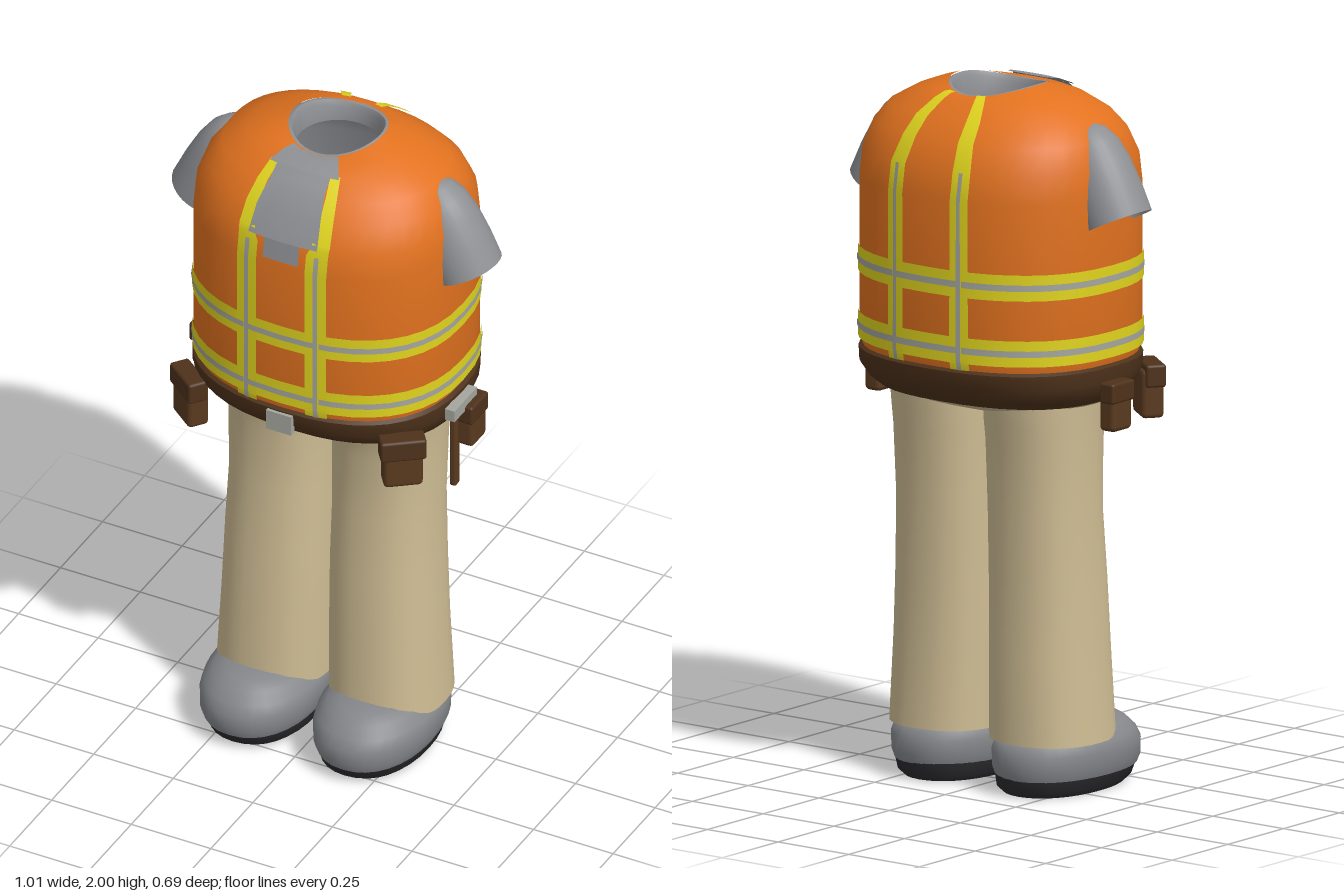
import * as THREE from 'three';
import { toCreasedNormals } from 'three/addons/utils/BufferGeometryUtils.js';
import { RoundedBoxGeometry } from 'three/addons/geometries/RoundedBoxGeometry.js';

const paint = (name, color, side = THREE.FrontSide) => {
  const m = new THREE.MeshStandardMaterial({ color, side });
  m.name = name;
  return m;
};

// A ring is [y, halfWidth, halfDepth, centreX, centreZ, roundness, frontAndBackDrop]
const fill = ([y, a, b, cx = 0, cz = 0, n = 2.4, drop = 0]) => [y, a, b, cx, cz, n, drop];
const power = (v, n) => Math.sign(v) * Math.abs(v) ** (2 / n);

// Skin through rings listed from bottom to top, with optional end caps
function loft(rings, { seg = 40, bottom = false, top = false, crease = 0.8 } = {}) {
  const pos = [], idx = [];
  rings.map(fill).forEach(([y, a, b, cx, cz, n, drop]) => {
    for (let i = 0; i < seg; i++) {
      const t = (i / seg) * Math.PI * 2, s = power(Math.sin(t), n);
      pos.push(cx + a * power(Math.cos(t), n), y - drop * s * s, cz + b * s);
    }
  });
  for (let r = 0; r < rings.length - 1; r++) {
    for (let i = 0; i < seg; i++) {
      const p = r * seg + i, q = r * seg + ((i + 1) % seg);
      idx.push(p, p + seg, q, q, p + seg, q + seg);
    }
  }
  const cap = (r, up) => {
    const [y, , , cx, cz] = fill(rings[r]);
    const c = pos.length / 3;
    pos.push(cx, y, cz);
    for (let i = 0; i < seg; i++) {
      const p = r * seg + i, q = r * seg + ((i + 1) % seg);
      idx.push(c, up ? q : p, up ? p : q);
    }
  };
  if (bottom) cap(0, false);
  if (top) cap(rings.length - 1, true);
  const g = new THREE.BufferGeometry();
  g.setAttribute('position', new THREE.Float32BufferAttribute(pos, 3));
  g.setIndex(idx);
  return toCreasedNormals(g, crease);
}

const VEST = [
  [1.235, 0.385, 0.328], [1.27, 0.395, 0.335], [1.72, 0.395, 0.335], [1.8, 0.39, 0.322],
  [1.87, 0.365, 0.285], [1.92, 0.325, 0.24], [1.96, 0.255, 0.19, 0, 0, 2.3, 0],
  [1.985, 0.19, 0.16, 0, -0.005, 2.2, 0.01], [2.0, 0.14, 0.138, 0, -0.01, 2, 0.025],
].map(fill);

// Interpolate in a list sorted by its first entry
function sample(list, y) {
  let i = 0;
  while (i < list.length - 2 && y > list[i + 1][0]) i++;
  const k = (y - list[i][0]) / (list[i + 1][0] - list[i][0]);
  return list[i].map((v, j) => v + (list[i + 1][j] - v) * k);
}

// Thin strip laid on the vest; rows are [y, xFrom, xTo], face is 1 front or -1 back
function strip(rows, face, off) {
  const y0 = rows[0][0], y1 = rows[rows.length - 1][0], cols = 5;
  const ys = [...new Set([...rows.map(r => r[0]), ...VEST.map(r => r[0])])]
    .filter(y => y >= y0 && y <= y1).sort((p, q) => p - q);
  const pos = [], idx = [];
  ys.forEach((y, r) => {
    const [, xa, xb] = sample(rows, y), [, a, b, , cz, n, drop] = sample(VEST, y);
    for (let i = 0; i <= cols; i++) {
      const x = xa + ((xb - xa) * i) / cols;
      const s = (1 - Math.abs(x / (a + off)) ** n) ** (1 / n);
      pos.push(x, y - drop * s * s + (y > 1.8 ? off : 0), cz + face * (b + off) * s);
      if (r && i) {
        const q = r * (cols + 1) + i, p = q - cols - 1;
        if (face > 0) idx.push(p - 1, p, q, p - 1, q, q - 1);
        else idx.push(p - 1, q, p, p - 1, q - 1, q);
      }
    }
  });
  const g = new THREE.BufferGeometry();
  g.setAttribute('position', new THREE.Float32BufferAttribute(pos, 3));
  g.setIndex(idx);
  g.computeVertexNormals();
  return g;
}

export function createModel() {
  const orange = paint('vest orange', 0xe2721f);
  const yellow = paint('safety yellow', 0xe0d41e);
  const silver = paint('reflective silver', 0xa4a69e);
  const grey = paint('shirt grey', 0x8e9094, THREE.DoubleSide);
  const tan = paint('trouser tan', 0xcfbd94, THREE.DoubleSide);
  const brown = paint('belt brown', 0x4e321b);
  const leather = paint('pouch leather', 0x5a3a1f);
  const shoeGrey = paint('shoe grey', 0x85878b);
  const dark = paint('sole dark', 0x2c2c30);

  const model = new THREE.Group();
  const add = (name, geo, mat, parent = model) => {
    const m = new THREE.Mesh(geo, mat);
    m.name = name;
    parent.add(m);
    return m;
  };

  // Vest shell, and the shirt lining with the collar rim
  add('vest', loft(VEST), orange);
  add('shirtLining', loft([
    [1.25, 0.37, 0.31], [1.75, 0.37, 0.31], [1.87, 0.33, 0.25], [1.93, 0.2, 0.15],
    [1.92, 0.122, 0.12, 0, -0.01, 2], [1.985, 0.124, 0.122, 0, -0.01, 2, 0.025],
    [2.0, 0.132, 0.13, 0, -0.01, 2, 0.025], [1.995, 0.143, 0.142, 0, -0.01, 2, 0.02],
  ]), grey);

  // Reflective bands around the body
  const band = (name, y0, y1, off, mat) =>
    add(name, loft([[y0, 0.395 + off, 0.335 + off], [y1, 0.395 + off, 0.335 + off]]), mat);
  for (const y of [1.297, 1.485]) {
    band('yellowBand', y - 0.037, y + 0.037, 0.004, yellow);
    band('silverBand', y - 0.009, y + 0.009, 0.006, silver);
  }

  // Shoulder straps, front and back
  const strap = (name, rows, s, face, off, mat) =>
    add(name, strip(rows.map(([y, x, h]) => [y, s * x - h, s * x + h]), face, off), mat);
  for (const s of [-1, 1]) {
    strap('frontStrap', [[1.24, 0.108, 0.032], [1.78, 0.108, 0.032], [1.81, 0.116, 0.026],
      [1.87, 0.116, 0.02], [1.92, 0.108, 0.016], [1.96, 0.094, 0.014]], s, 1, 0.005, yellow);
    strap('backStrap', [[1.24, 0.112, 0.03], [1.8, 0.112, 0.028], [1.92, 0.09, 0.022],
      [1.985, 0.058, 0.014], [1.995, 0.05, 0.012]], s, -1, 0.005, yellow);
    strap('frontStrapLine', [[1.24, 0.108, 0.007], [1.78, 0.108, 0.007]], s, 1, 0.0075, silver);
    strap('backStrapLine', [[1.24, 0.112, 0.007], [1.8, 0.112, 0.006]], s, -1, 0.0075, silver);
  }

  // Shirt showing in the open neck of the vest
  const bib = (name, rows) => add(name, strip(rows.map(([y, h]) => [y, -h, h]), 1, 0.007), grey);
  bib('shirtFront', [[1.8, 0.108], [1.87, 0.1], [1.935, 0.085], [1.955, 0.084]]);
  bib('shirtCollar', [[1.955, 0.108], [1.985, 0.085], [1.998, 0.07]]);
  bib('shirtTab', [[1.74, 0.055], [1.8, 0.055]]);

  // Short open sleeves
  const sleeve = new THREE.LatheGeometry(
    [[0.1, 0], [0.099, 0.08], [0.093, 0.16], [0.08, 0.22], [0.058, 0.26], [0.03, 0.285], [0, 0.292]]
      .map(p => new THREE.Vector2(...p)), 28);
  for (const s of [-1, 1]) {
    const m = add(s > 0 ? 'leftSleeve' : 'rightSleeve', sleeve, grey);
    m.position.set(s * 0.414, 1.647, 0);
    m.rotation.z = s * 0.44;
  }

  // Belt with buckle
  add('belt', loft([[1.125, 0.35, 0.27], [1.15, 0.38, 0.3], [1.19, 0.396, 0.334],
    [1.232, 0.397, 0.338], [1.24, 0.385, 0.328]]), brown);
  add('buckle', new THREE.BoxGeometry(0.08, 0.062, 0.02), silver).position.set(0, 1.197, 0.337);

  // Trousers: hips and two legs
  add('hips', loft([[1.085, 0.27, 0.15], [1.095, 0.305, 0.18], [1.115, 0.328, 0.22],
    [1.14, 0.352, 0.27], [1.2, 0.36, 0.3]], { bottom: true, crease: 1.2 }), tan);
  const legRings = [ // y, centreX, halfWidth, back, front
    [0.15, 0.177, 0.167, -0.165, 0.18], [0.4, 0.169, 0.162, -0.158, 0.17],
    [0.6, 0.165, 0.159, -0.155, 0.16], [0.8, 0.162, 0.154, -0.16, 0.147],
    [1.0, 0.163, 0.157, -0.17, 0.147], [1.06, 0.163, 0.16, -0.178, 0.158],
    [1.14, 0.165, 0.164, -0.185, 0.178]];
  const rings = (list, n) => list.map(([y, cx, a, z0, z1]) => [y, a, (z1 - z0) / 2, cx, (z0 + z1) / 2, n]);
  const leg = loft(rings(legRings, 2.3), { seg: 32 });

  // Shoes
  const upper = loft(rings([
    [0.05, 0.178, 0.155, -0.172, 0.306], [0.075, 0.178, 0.165, -0.18, 0.315],
    [0.12, 0.178, 0.167, -0.18, 0.314], [0.15, 0.178, 0.16, -0.165, 0.295],
    [0.178, 0.178, 0.13, -0.1, 0.265], [0.195, 0.178, 0.085, 0, 0.235],
    [0.2, 0.178, 0.04, 0.06, 0.2]], 2.2), { seg: 32, top: true, crease: 1 });
  const sole = loft(rings([
    [0, 0.175, 0.13, -0.145, 0.262], [0.018, 0.175, 0.147, -0.166, 0.288],
    [0.06, 0.177, 0.156, -0.174, 0.306]], 2.2), { seg: 32, bottom: true });

  // Tool pouch with flap, its back at z = 0
  const pouch = (name, w, h, d) => {
    const g = new THREE.Group();
    g.name = name;
    add('pouchBody', new RoundedBoxGeometry(w * 0.86, h * 0.9, d, 2, 0.014), leather, g)
      .position.set(0, -h * 0.55, d / 2);
    add('pouchFlap', new RoundedBoxGeometry(w, h * 0.42, d * 0.9, 2, 0.008), brown, g)
      .position.set(0, -h * 0.21, d * 0.6);
    return g;
  };

  for (const s of [-1, 1]) {
    const side = new THREE.Group();
    side.name = s > 0 ? 'leftSide' : 'rightSide';
    side.scale.x = s;
    add('trouserLeg', leg, tan, side);
    add('shoe', upper, shoeGrey, side);
    add('sole', sole, dark, side);
    const front = pouch('frontPouch', 0.13, 0.155, 0.065);
    front.position.set(0.312, 1.197, 0.215);
    front.rotation.y = 0.65;
    const hip = pouch('hipPouch', 0.1, 0.14, 0.055);
    hip.position.set(0.388, 1.197, -0.012);
    hip.rotation.y = Math.PI / 2;
    side.add(front, hip);
    model.add(side);
  }

  // Hammer hanging from the left hip
  const hammer = new THREE.Group();
  hammer.name = 'hammer';
  add('hammerHandle', new RoundedBoxGeometry(0.02, 0.28, 0.028, 2, 0.006), leather, hammer)
    .position.set(0.388, 1.063, 0.034);
  add('hammerHead', new THREE.BoxGeometry(0.03, 0.036, 0.135), silver, hammer)
    .position.set(0.408, 1.202, 0.033);
  model.add(hammer);

  return model;
}
